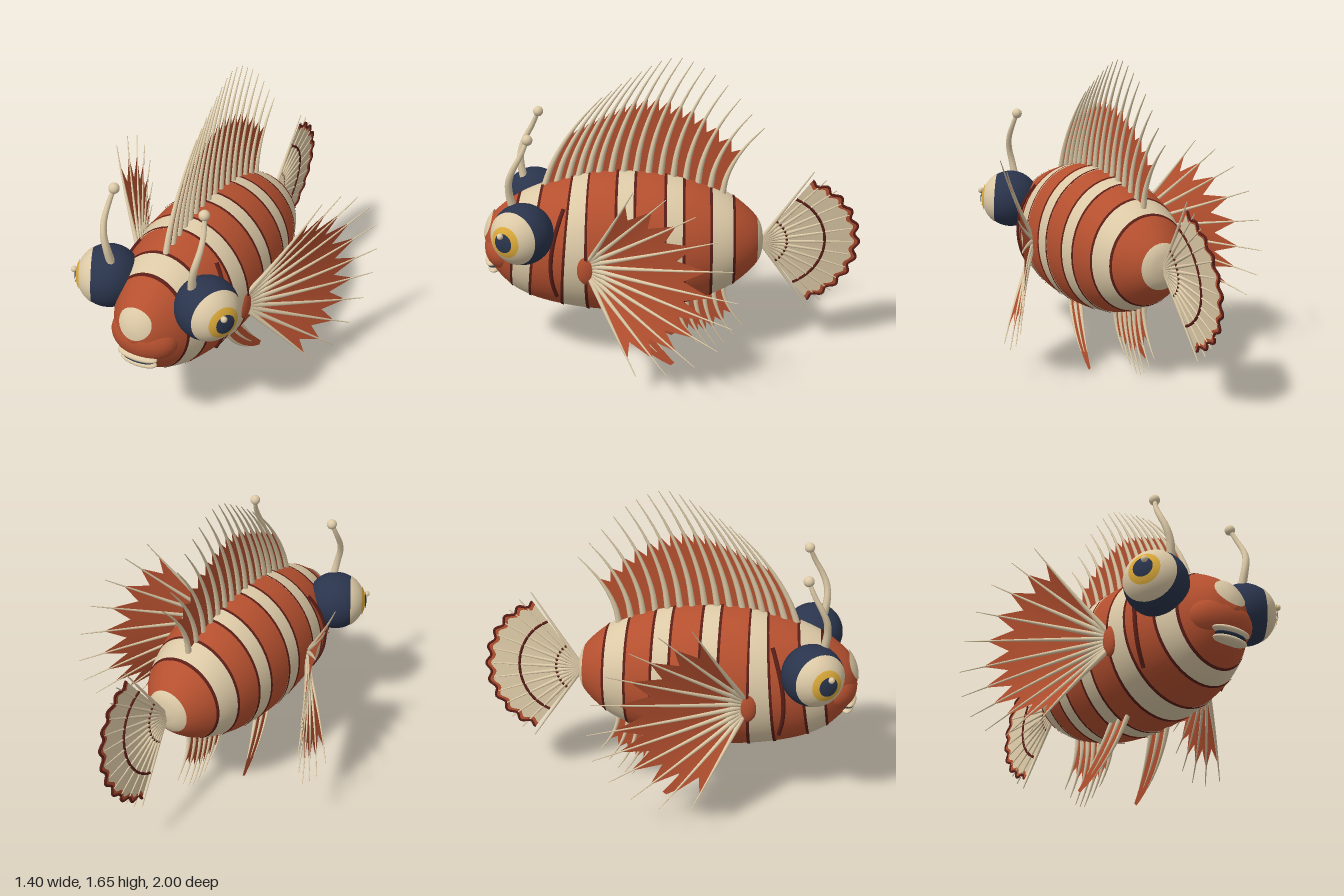
import * as THREE from 'three';
import { mergeGeometries } from 'three/addons/utils/BufferGeometryUtils.js';

const V = (x, y, z) => new THREE.Vector3(x, y, z);
const mat = (name, color, side = THREE.FrontSide) => {
  const m = new THREE.MeshStandardMaterial({ color, side });
  m.name = name;
  return m;
};

// Body half-width, half-height along z, smoothed through a few sections
const CY = 0.67;
const profile = new THREE.CatmullRomCurve3([
  [0.002, 0.002, -0.49], [0.08, 0.085, -0.475], [0.135, 0.14, -0.44], [0.22, 0.235, -0.33],
  [0.27, 0.3, -0.2], [0.302, 0.345, -0.07], [0.324, 0.376, 0.1], [0.33, 0.385, 0.25],
  [0.325, 0.376, 0.42], [0.305, 0.35, 0.56], [0.265, 0.31, 0.7], [0.215, 0.26, 0.81],
  [0.165, 0.2, 0.89], [0.11, 0.135, 0.95], [0.055, 0.07, 0.98], [0.002, 0.002, 0.99],
].map(p => V(...p))).getPoints(300);

function section(z) {
  let i = 1;
  while (i < profile.length - 1 && profile[i].z < z) i++;
  const a = profile[i - 1], b = profile[i];
  const t = THREE.MathUtils.clamp((z - a.z) / (b.z - a.z), 0, 1);
  return [a.x + (b.x - a.x) * t, a.y + (b.y - a.y) * t];
}

// Point on the skin; rings lean forward at the belly near the head
function skin(z, angle, k = 1) {
  const [rx, ry] = section(z);
  const dy = Math.sin(angle) * ry * k;
  const lean = z > 0.4 ? Math.sin(Math.PI * Math.min(1, (z - 0.4) / 0.6)) * 0.13 : 0;
  return V(Math.cos(angle) * rx * k, CY + dy, z - dy * lean);
}

// Surface from a grid of points, optionally closed in u
function grid(nu, nv, fn, wrap = false) {
  const pos = [], idx = [], cols = wrap ? nu : nu + 1;
  for (let j = 0; j <= nv; j++)
    for (let i = 0; i < cols; i++) pos.push(...fn(i / nu, j / nv).toArray());
  for (let j = 0; j < nv; j++)
    for (let i = 0; i < nu; i++) {
      const a = j * cols + i, b = j * cols + (i + 1) % cols;
      idx.push(a, b, a + cols, b, b + cols, a + cols);
    }
  const g = new THREE.BufferGeometry();
  g.setAttribute('position', new THREE.Float32BufferAttribute(pos, 3));
  g.setIndex(idx);
  g.computeVertexNormals();
  return g;
}

const ring = (z0, z1, rows, k = 1) =>
  grid(48, rows, (u, v) => skin(z0 + (z1 - z0) * v, u * Math.PI * 2, k), true);

// Tapered tube along a curve
function spine(curve, r0, r1, end = 1) {
  const path = new THREE.CatmullRomCurve3([0, 1, 2, 3, 4, 5].map(i => curve.getPoint(i / 5 * end)));
  const n = 12, sides = 8, g = new THREE.TubeGeometry(path, n, 1, sides);
  const p = g.attributes.position, v = V(0, 0, 0);
  for (let i = 0; i < p.count; i++) {
    const t = Math.floor(i / (sides + 1)) / n, c = path.getPointAt(t);
    v.fromBufferAttribute(p, i).sub(c).multiplyScalar(r0 + (r1 - r0) * t).add(c);
    p.setXYZ(i, v.x, v.y, v.z);
  }
  return g;
}

// Web between neighbouring rays, reaching peak on a ray and notch between rays
function web(rays, peak, notch) {
  const n = (rays.length - 1) * 2;
  return grid(n, 10, (u, v) => {
    const i = Math.round(u * n), a = rays[i >> 1];
    if (i % 2 === 0) return a.getPoint(v * peak);
    return a.getPoint(v * notch).lerp(rays[(i >> 1) + 1].getPoint(v * notch), 0.5);
  });
}

export function createModel() {
  const fish = new THREE.Group();
  fish.name = 'fish';
  const red = mat('rust red', 0xb5502f), cream = mat('cream', 0xdcc9a6);
  const maroon = mat('dark maroon', 0x5a1e18), navy = mat('navy', 0x2a344c);
  const gold = mat('gold', 0xdcaa3a);
  const finRed = mat('fin red', 0xb5502f, THREE.DoubleSide);
  const finCream = mat('fin cream', 0xdcc9a6, THREE.DoubleSide);
  const add = (name, geo, m, parent = fish) => {
    const mesh = new THREE.Mesh(geo, m);
    mesh.name = name;
    parent.add(mesh);
    return mesh;
  };
  const ball = (name, m, c, r) => {
    const s = add(name, new THREE.SphereGeometry(1, 32, 20), m);
    s.position.set(...c);
    s.scale.set(...r);
    return s;
  };

  // Striped body with dark lines at each colour change
  const cuts = [-0.49, -0.455, -0.33, -0.21, -0.07, 0.025, 0.18, 0.275, 0.43, 0.545, 0.71, 0.82, 0.99];
  for (let i = 0; i < cuts.length - 1; i++) {
    add('bodyBand', ring(cuts[i], cuts[i + 1], 10), i % 2 ? red : cream);
    if (i > 1) add('stripeEdge', ring(cuts[i] - 0.007, cuts[i] + 0.007, 2, 1.014), maroon);
  }

  // Muzzle, lips and forehead patch
  ball('muzzle', red, [0, 0.635, 0.87], [0.18, 0.125, 0.12]);
  ball('upperLip', cream, [0, 0.56, 0.95], [0.11, 0.022, 0.04]);
  ball('mouth', navy, [0, 0.54, 0.945], [0.09, 0.014, 0.036]);
  ball('lowerLip', cream, [0, 0.518, 0.94], [0.1, 0.021, 0.038]);
  const faceZ = (x, y) => {
    let lo = 0.6, hi = 0.99;
    for (let k = 0; k < 25; k++) {
      const z = (lo + hi) / 2, [rx, ry] = section(z);
      if ((x / rx) ** 2 + ((y - CY) / ry) ** 2 < 1) lo = z; else hi = z;
    }
    const q = 1 - (x / 0.18) ** 2 - ((y - 0.635) / 0.125) ** 2;
    return Math.max(lo, q > 0 ? 0.87 + 0.12 * Math.sqrt(q) : 0);
  };
  add('foreheadPatch', grid(24, 8, (u, v) => {
    const a = -u * Math.PI * 2, r = 1.001 - v;
    const x = Math.cos(a) * r * 0.09, y = 0.755 + Math.sin(a) * r * 0.075;
    return V(x, y, faceZ(x, y) + 0.006);
  }, true), finCream);

  // Rays in the middle plane, swept backward
  const sweep = (n, base, tips, bow) => {
    const path = new THREE.CatmullRomCurve3(tips.map(([z, y]) => V(0, y, z)));
    return Array.from({ length: n }, (_, i) => {
      const b = base(i / (n - 1)), t = path.getPoint(i / (n - 1));
      const c = b.clone().lerp(t, 0.5);
      c.z += bow;
      return new THREE.QuadraticBezierCurve3(b, c, t);
    });
  };
  const fin = (name, rays, peak, notch, r, end = 1) => {
    add(name + 'Web', web(rays, peak, notch), finRed);
    add(name + 'Rays', mergeGeometries(rays.map(c => spine(c, r, 0.002, end))), cream);
  };
  fin('dorsalFin', sweep(16, t => skin(0.7 - 0.97 * t, Math.PI / 2, 0.97),
    [[0.35, 1.45], [0.16, 1.58], [-0.03, 1.66], [-0.24, 1.56], [-0.48, 1.29]], 0.09), 0.68, 0.56, 0.017);
  fin('analFin', sweep(7, t => skin(0.02 - 0.3 * t, -Math.PI / 2, 0.97),
    [[-0.08, 0.09], [-0.21, 0.02], [-0.29, 0.05], [-0.39, 0.16]], 0.06), 0.72, 0.55, 0.014);

  for (const s of [1, -1]) {
    const side = s > 0 ? 'left' : 'right';

    // Pectoral fan
    const root = V(s * 0.3, 0.63, 0.42);
    const rays = Array.from({ length: 11 }, (_, i) => {
      const a = (i / 5 - 1) * Math.PI / 2, c = Math.cos(a), up = Math.sin(a);
      const start = root.clone().add(V(0, up * 0.035, 0));
      const tip = root.clone().add(V(s * (0.29 + 0.11 * c), up * (up > 0 ? 0.53 : 0.46), -0.25 - 0.5 * c));
      const mid = start.clone().lerp(tip, 0.5).add(V(s * 0.02, 0, 0));
      return new THREE.QuadraticBezierCurve3(start, mid, tip);
    });
    fin(side + 'PectoralFin', rays, 0.83, 0.66, 0.014);
    ball(side + 'PectoralBase', red, [s * 0.305, 0.63, 0.43], [0.03, 0.085, 0.05]);

    // Pelvic blade
    const pelvic = [0, 0.5, 1].map(t => new THREE.QuadraticBezierCurve3(
      V(s * 0.12, 0.34, 0.33 - 0.13 * t), V(s * 0.15, 0.11 + 0.05 * t, 0.23 - 0.12 * t),
      V(s * 0.175, 0.005 + 0.015 * t, -0.02 * t)));
    fin(side + 'PelvicFin', pelvic, 1, 1, 0.014, 0.75);

    // Gill slit
    const gill = [0.8, 0.5, 0.2, -0.1, -0.4, -0.7].map((a, i) => {
      const p = skin(0.57 + 0.04 * Math.sin(i / 5 * Math.PI), a, 1.01);
      p.x *= s;
      return p;
    });
    add(side + 'GillSlit', new THREE.TubeGeometry(new THREE.CatmullRomCurve3(gill), 24, 0.011, 8), maroon);

    // Eye: nested caps turned outward and forward
    const eye = new THREE.Group();
    eye.name = side + 'Eye';
    eye.position.set(s * 0.275, 0.81, 0.75);
    eye.quaternion.setFromUnitVectors(V(0, 1, 0), V(s * 0.87, 0.05, 0.48).normalize());
    fish.add(eye);
    const cap = (name, r, deg, m) =>
      add(name, new THREE.SphereGeometry(r, 36, 24, 0, Math.PI * 2, 0, deg * Math.PI / 180), m, eye);
    cap('eyeball', 0.158, 180, navy);
    cap('eyeWhite', 0.161, 59, cream);
    cap('iris', 0.166, 29, gold);
    cap('pupil', 0.171, 17, navy);
    const glint = ball(side + 'EyeGlint', cream, [s * 0.418, 0.855, 0.842], [0.016, 0.016, 0.016]);
    glint.name = side + 'EyeGlint';

    // Feeler above the eye
    const stalk = new THREE.CatmullRomCurve3([
      V(s * 0.225, 0.93, 0.8), V(s * 0.24, 1.04, 0.815), V(s * 0.26, 1.12, 0.8),
      V(s * 0.262, 1.21, 0.75), V(s * 0.245, 1.3, 0.71)]);
    add(side + 'Feeler', spine(stalk, 0.022, 0.011), cream);
    ball(side + 'FeelerTip', cream, [s * 0.245, 1.3, 0.71], [0.027, 0.027, 0.027]);
  }

  // Tail fan with scalloped rim and dark arcs
  const spread = 0.93;
  const rim = a => 0.305 + 0.21 * Math.cos(a) + 0.013 * Math.cos(a / spread * Math.PI * 10);
  const tailPoint = (a, r) => V(0.075 * r * Math.sin(a * 1.7), 0.66 + Math.sin(a) * r, -0.47 - Math.cos(a) * r);
  const arc = (r, w) => new THREE.TubeGeometry(new THREE.CatmullRomCurve3(
    Array.from({ length: 81 }, (_, i) => {
      const a = (i / 40 - 1) * spread;
      return tailPoint(a, r(a));
    })), 120, w, 6);
  const fan = (r0, r1) => grid(80, 4, (u, v) => {
    const a = (u * 2 - 1) * spread;
    return tailPoint(a, r0(a) + (r1(a) - r0(a)) * v);
  });
  const inner = a => rim(a) - 0.025;
  add('tailWeb', fan(() => 0, inner), finCream);
  add('tailBorder', fan(inner, rim), finRed);
  add('tailInnerArc', arc(() => 0.145, 0.008), maroon);
  add('tailOuterArc', arc(a => 0.255 + 0.09 * Math.cos(a), 0.008), maroon);
  add('tailRim', arc(rim, 0.007), maroon);
  const tailRays = Array.from({ length: 13 }, (_, i) => {
    const a = (i / 6 - 1) * 0.98, len = 0.3 + 0.19 * Math.cos(a) + 0.12 * Math.sin(a) ** 2;
    return spine(new THREE.LineCurve3(tailPoint(a, 0), tailPoint(a, len)), 0.012, 0.003);
  });
  add('tailRays', mergeGeometries(tailRays), cream);

  return fish;
}
